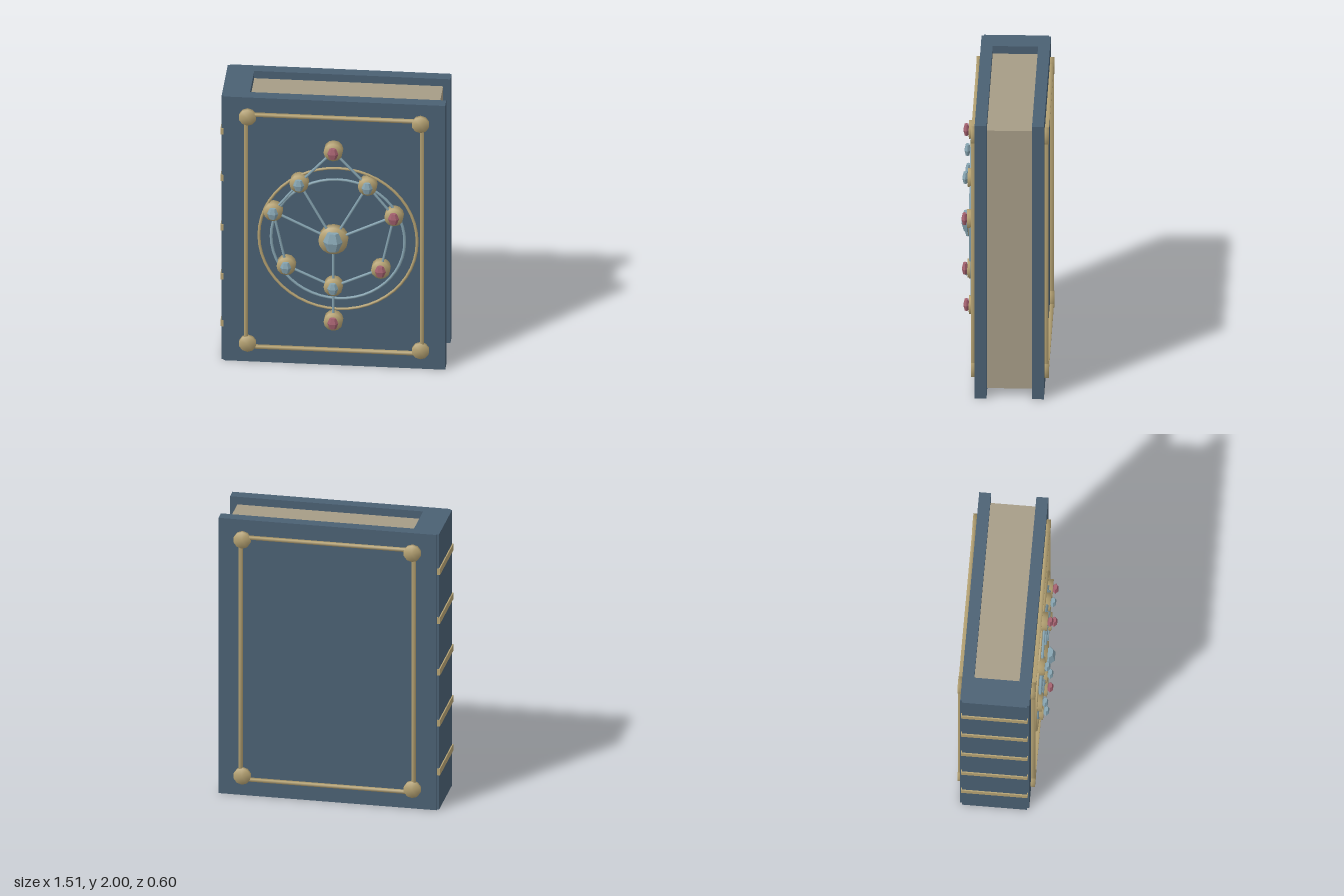
import * as THREE from 'three';
import { mergeVertices } from 'three/addons/utils/BufferGeometryUtils.js';

const material = (name, color) => {
  const m = new THREE.MeshStandardMaterial({ color });
  m.name = name;
  return m;
};

// Share corner vertices so shading blends softly across edges
function soften(geometry) {
  geometry.deleteAttribute('uv');
  geometry.deleteAttribute('normal');
  const merged = mergeVertices(geometry, 1e-4);
  merged.computeVertexNormals();
  return merged;
}

export function createModel() {
  const book = new THREE.Group();
  book.name = 'book';
  const leather = material('blue leather', 0x4a6073);
  const paper = material('paper', 0xa69c86);
  const gold = material('pale gold', 0xb5a273);
  const blue = material('pale blue', 0x86a4b1);
  const rose = material('rose', 0xa4616f);

  function add(name, geometry, mat, x = 0, y = 0, z = 0, parent = book) {
    const mesh = new THREE.Mesh(geometry, mat);
    mesh.name = name;
    mesh.position.set(x, y, z);
    parent.add(mesh);
    return mesh;
  }

  // Box given by its extents on each axis
  function block(name, mat, x0, x1, y0, y1, z0, z1, soft = false) {
    const g = new THREE.BoxGeometry(x1 - x0, y1 - y0, z1 - z0);
    return add(name, soft ? soften(g) : g, mat, (x0 + x1) / 2, (y0 + y1) / 2, (z0 + z1) / 2);
  }

  // Disc facing +z or -z
  const disc = (r, depth, sides = 10) =>
    soften(new THREE.CylinderGeometry(r, r, depth, sides).rotateX(Math.PI / 2));

  // Covers, spine and pages
  block('frontCover', leather, -0.738, 0.755, 0, 2, 0.11, 0.19);
  block('backCover', leather, -0.738, 0.755, 0, 2, -0.275, -0.195);
  block('spine', leather, -0.752, -0.567, 0, 2, -0.262, 0.175);
  block('pages', paper, -0.57, 0.705, 0.055, 1.945, -0.196, 0.111);

  // Raised bands on the spine
  for (const y of [0.275, 0.63, 1, 1.375, 1.73])
    block('spineBand', gold, -0.76, -0.73, y - 0.023, y + 0.023, -0.268, 0.181);

  // Border strips and corner studs on both covers
  for (const [z0, z1] of [[0.188, 0.218], [-0.302, -0.273]]) {
    for (const x of [-0.585, 0.601])
      block('borderUpright', gold, x - 0.012, x + 0.012, 0.115, 1.89, z0, z1, true);
    for (const y of [0.122, 1.88])
      block('borderRail', gold, -0.595, 0.612, y - 0.01, y + 0.01, z0, z1, true);
    for (const x of [-0.575, 0.59])
      for (const y of [0.145, 1.86])
        add('cornerStud', disc(0.059, 0.032), gold, x, y, (z0 + z1) / 2);
  }

  // Emblem rings
  const emblem = new THREE.Group();
  emblem.name = 'emblem';
  book.add(emblem);
  add('outerRing', new THREE.TorusGeometry(0.533, 0.01, 6, 48), gold, 0.035, 0.972, 0.212, emblem);
  add('innerRing', new THREE.TorusGeometry(0.45, 0.01, 6, 48), blue, 0.035, 0.972, 0.218, emblem);

  // Gem positions: x, y, gem material
  const nodes = [
    [0.005, 0.97, blue],
    [0.005, 1.64, rose],
    [-0.225, 1.39, blue], [0.236, 1.39, blue],
    [-0.4, 1.167, blue], [0.414, 1.167, rose],
    [-0.312, 0.762, blue], [0.325, 0.764, rose],
    [0.005, 0.617, blue],
    [0.005, 0.355, rose],
  ];

  // Six-sided cut gem with flat ends
  function gem(r, height, depth) {
    const profile = [[0, -1], [0.58, -1], [1, 0], [0.58, 1], [0, 1]]
      .map(([x, y]) => new THREE.Vector2(x * r, y * height / 2));
    const g = new THREE.LatheGeometry(profile, 6, Math.PI / 2);
    g.scale(1, 1, depth / (2 * r * Math.cos(Math.PI / 6)));
    const flat = g.toNonIndexed();
    flat.computeVertexNormals();
    return flat;
  }

  nodes.forEach(([x, y, mat], i) => {
    const centre = i === 0;
    add('gemSetting', disc(centre ? 0.099 : 0.064, 0.062, centre ? 16 : 12), gold, x, y, 0.22, emblem);
    add('gem', centre ? gem(0.066, 0.135, 0.076) : gem(0.038, 0.078, 0.04), mat,
      x, y, centre ? 0.263 : 0.268, emblem);
  });

  // Rods joining the gems
  const links = [
    [0, 2], [0, 3], [0, 4], [0, 5], [0, 8],
    [1, 2], [1, 3], [2, 4], [3, 5], [4, 6], [5, 7], [6, 8], [7, 8], [8, 9],
  ];
  const up = new THREE.Vector3(0, 1, 0);
  for (const [a, b] of links) {
    const p = new THREE.Vector3(nodes[a][0], nodes[a][1], 0.231);
    const q = new THREE.Vector3(nodes[b][0], nodes[b][1], 0.231);
    const span = q.clone().sub(p);
    const mid = p.clone().add(q).multiplyScalar(0.5);
    const rod = add('rod', new THREE.CylinderGeometry(0.009, 0.009, span.length(), 6), blue,
      mid.x, mid.y, mid.z, emblem);
    rod.quaternion.setFromUnitVectors(up, span.normalize());
  }

  return book;
}
